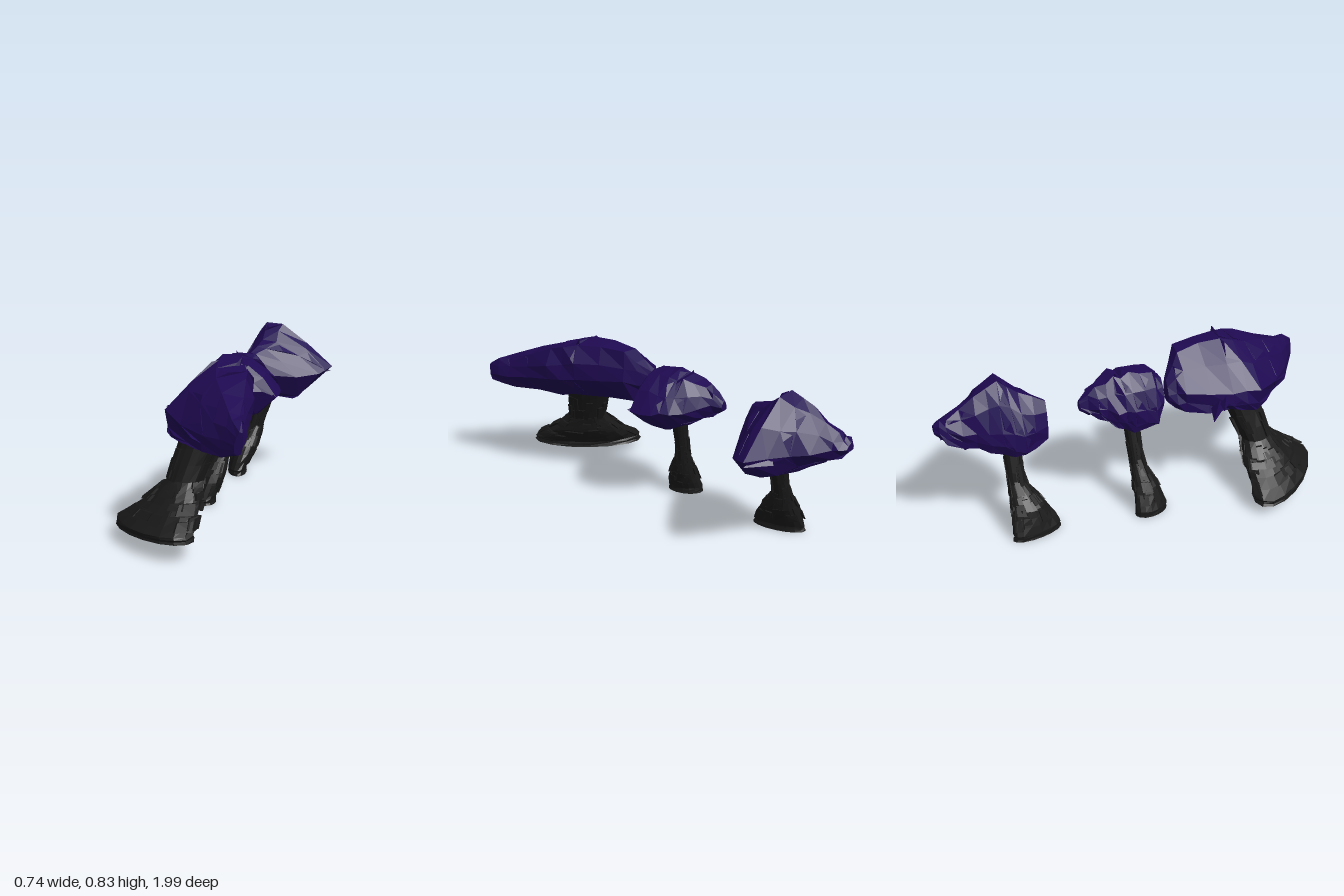
import * as THREE from 'three';
import { mergeGeometries } from 'three/addons/utils/BufferGeometryUtils.js';
import { ConvexGeometry } from 'three/addons/geometries/ConvexGeometry.js';

const V = (x, y, z) => new THREE.Vector3(x, y, z);
const mix = (a, b, t) => a.map((v, i) => THREE.MathUtils.lerp(v, b[i], t));

function seeded(s) {
  return () => {
    s = (s * 16807) % 2147483647;
    return s / 2147483647;
  };
}

// Skin of quads through rings of points, closed with a fan at both ends
function loft(rings) {
  const n = rings[0].length, last = rings.length - 1;
  const points = rings.flat(), index = [];
  for (let j = 0; j < last; j++) {
    for (let k = 0; k < n; k++) {
      const a = j * n + k, b = j * n + (k + 1) % n;
      index.push(a, b, b + n, a, b + n, a + n);
    }
  }
  for (const j of [0, last]) {
    const mid = V(0, 0, 0);
    rings[j].forEach((p) => mid.addScaledVector(p, 1 / n));
    points.push(mid);
    for (let k = 0; k < n; k++) {
      const a = j * n + k, b = j * n + (k + 1) % n;
      index.push(points.length - 1, ...(j ? [a, b] : [b, a]));
    }
  }
  const indexed = new THREE.BufferGeometry().setFromPoints(points);
  indexed.setIndex(index);
  const geometry = indexed.toNonIndexed();
  geometry.computeVertexNormals();
  return geometry;
}

// Leaning, flared trunk. Stations are [x, y, z, long radius, short radius]
function trunkGeometry({ base, knee, neck, top, turn, tilt }, rand) {
  const rim = base.map((v, i) => (i === 1 ? v + 0.03 : v));
  const stations = [base, rim, knee, neck, top];
  const s = Math.sin(turn), c = Math.cos(turn);
  const at = (t, angle, swell) => {
    const i = Math.min(Math.floor(t), 3);
    const [x, y, z, long, short] = mix(stations[i], stations[i + 1], t - i);
    const u = Math.cos(angle) * long * swell, v = Math.sin(angle) * short * swell;
    const dx = u * s + v * c, dz = u * c - v * s;
    return V(x + dx, y + tilt * (dx + dz), z + dz);
  };
  const sides = 16;
  const core = Array.from({ length: 13 }, (_, j) => Array.from({ length: sides }, (_, k) =>
    at(j / 3, k / sides * Math.PI * 2, j ? 0.94 + rand() * 0.06 : 1)));
  const parts = [loft(core)];
  // Bark plates: overlapping slabs that follow the trunk surface
  for (let i = 0; i < 56; i++) {
    const t0 = 1.05 + rand() * 2.3, t1 = t0 + 0.25 + rand() * 0.25;
    const a0 = i * 2.4 + rand() * 0.4, a1 = a0 + 0.3 + rand() * 0.35;
    const swell = 1 + rand() * 0.1;
    const corners = [];
    for (const t of [t0, t1]) {
      for (const a of [a0, a1]) corners.push(at(t, a, 0.85), at(t, a, swell + rand() * 0.02));
    }
    parts.push(new ConvexGeometry(corners));
  }
  return mergeGeometries(parts);
}

// Jagged foliage. Sections are [z, xMin, xMax, yMin, yMax], back to front;
// the top is flat from crest - ridge to crest + ridge across the width
function canopyGeometry({ sections, crest, ridge, spikes }, rand) {
  const left = crest - ridge, right = crest + ridge;
  const profile = [
    [0.04, 0.05], [0.4, 0], [0.72, 0.05], [1, 0.41], [(1 + right) / 2 + 0.02, 0.72],
    [right, 0.97], [left, 1], [left / 2 - 0.03, 0.76], [0, 0.42], [0, 0.2],
  ];
  const count = sections.length * 2 - 1, sides = profile.length;
  const rings = Array.from({ length: count }, (_, j) => {
    const i = Math.floor(j / 2);
    const [z, x0, x1, y0, y1] = j % 2 ? mix(sections[i], sections[i + 1], 0.5) : sections[i];
    const amount = j > 0 && j < count - 1 ? 0.024 : 0;
    const jag = () => (rand() - 0.5) * amount;
    return profile.map(([u, v]) =>
      V(x0 + (x1 - x0) * u + jag(), y0 + (y1 - y0) * v + jag(), z + jag() / 2));
  });
  const parts = [loft(rings)];
  const middle = V(0, 0, 0);
  rings.flat().forEach((p) => middle.addScaledVector(p, 1 / (count * sides)));
  // Leaf shards lying on the surface with one raised corner
  for (let i = 0; i < 30; i++) {
    const j = 1 + Math.floor(rand() * (count - 3));
    const k = Math.floor(rand() * sides), next = (k + 1) % sides;
    const a = rings[j][k], b = rings[j + 1][next], c = rings[j][next];
    const out = a.clone().add(b).add(c).divideScalar(3).sub(middle).normalize();
    const tip = a.clone().lerp(b, 0.2 + rand() * 0.6).addScaledVector(out, 0.006 + rand() * 0.012);
    const root = a.clone().lerp(c, 0.5).addScaledVector(out, -0.04);
    parts.push(new ConvexGeometry([a, b, c.clone().lerp(tip, 0.3), tip, root]));
  }
  // Long spikes: each tip joined to a wide root inside the foliage
  for (const tip of spikes) {
    const root = V(...tip).lerp(middle, 0.45);
    const corners = [0, 1, 2].map((i) => root.clone().add(
      V(0.02 * i, 0.05 * Math.cos(i * 2.1), 0.06 * Math.sin(i * 2.1))));
    parts.push(new ConvexGeometry([V(...tip), ...corners]));
  }
  return mergeGeometries(parts);
}

const bark = new THREE.MeshStandardMaterial({ color: 0x191919, flatShading: true });
const leaves = new THREE.MeshStandardMaterial({
  color: 0x1f0a52, flatShading: true, side: THREE.DoubleSide,
});

function tree(name, seed, trunkSpec, canopySpec) {
  const rand = seeded(seed);
  const group = new THREE.Group();
  group.name = name;
  const trunk = new THREE.Mesh(trunkGeometry(trunkSpec, rand), bark);
  trunk.name = 'trunk';
  const canopy = new THREE.Mesh(canopyGeometry(canopySpec, rand), leaves);
  canopy.name = 'canopy';
  group.add(trunk, canopy);
  return group;
}

export function createModel() {
  const model = new THREE.Group();
  model.name = 'treeRow';

  // Large tree with a wide foot and a long, sloping canopy
  model.add(tree('frontTree', 4127, {
    base: [-0.135, 0.07, 0.765, 0.295, 0.125],
    knee: [-0.065, 0.2, 0.695, 0.175, 0.11],
    neck: [-0.025, 0.29, 0.655, 0.095, 0.08],
    top: [0.04, 0.51, 0.575, 0.115, 0.095],
    turn: 0.84, tilt: 0.04,
  }, {
    sections: [
      [0.16, -0.06, 0.02, 0.57, 0.68], [0.24, -0.1, 0.15, 0.51, 0.8],
      [0.48, -0.125, 0.25, 0.475, 0.805], [0.63, -0.125, 0.295, 0.468, 0.765],
      [0.88, 0.13, 0.33, 0.465, 0.67], [0.995, 0.305, 0.345, 0.51, 0.61],
    ],
    crest: 0.74, ridge: 0.16,
    spikes: [[-0.22, 0.52, 0.34], [-0.2, 0.56, 0.4], [0.195, 0.83, 0.48]],
  }));

  // Small tree with a rounded canopy
  model.add(tree('middleTree', 5118, {
    base: [-0.122, 0, 0.05, 0.094, 0.057],
    knee: [-0.08, 0.14, 0.033, 0.068, 0.06],
    neck: [-0.04, 0.26, 0, 0.036, 0.036],
    top: [0.025, 0.52, -0.02, 0.042, 0.042],
    turn: 0.37, tilt: 0,
  }, {
    sections: [
      [-0.285, -0.02, 0.02, 0.59, 0.64], [-0.2, -0.07, 0.1, 0.545, 0.7],
      [-0.11, -0.1, 0.22, 0.49, 0.735], [-0.03, -0.11, 0.25, 0.45, 0.745],
      [0.09, -0.11, 0.25, 0.46, 0.73], [0.145, -0.04, 0.15, 0.54, 0.68],
    ],
    crest: 0.45, ridge: 0.15,
    spikes: [[0, 0.755, -0.1], [0.26, 0.57, 0.11]],
  }));

  // Tree with a blunt, tapering back and a long side spike
  model.add(tree('backTree', 6109, {
    base: [-0.122, 0, -0.55, 0.137, 0.052],
    knee: [-0.08, 0.15, -0.578, 0.092, 0.07],
    neck: [-0.03, 0.26, -0.62, 0.042, 0.04],
    top: [0.04, 0.5, -0.625, 0.05, 0.05],
    turn: 0.28, tilt: 0,
  }, {
    sections: [
      [-0.995, -0.03, 0.03, 0.6, 0.64], [-0.94, -0.065, 0.08, 0.56, 0.675],
      [-0.8, -0.07, 0.19, 0.48, 0.75], [-0.68, -0.1, 0.365, 0.43, 0.815],
      [-0.58, -0.115, 0.33, 0.42, 0.735], [-0.455, -0.06, 0.09, 0.48, 0.68],
    ],
    crest: 0.35, ridge: 0.09,
    spikes: [[0.37, 0.56, -0.68]],
  }));
  return model;
}
